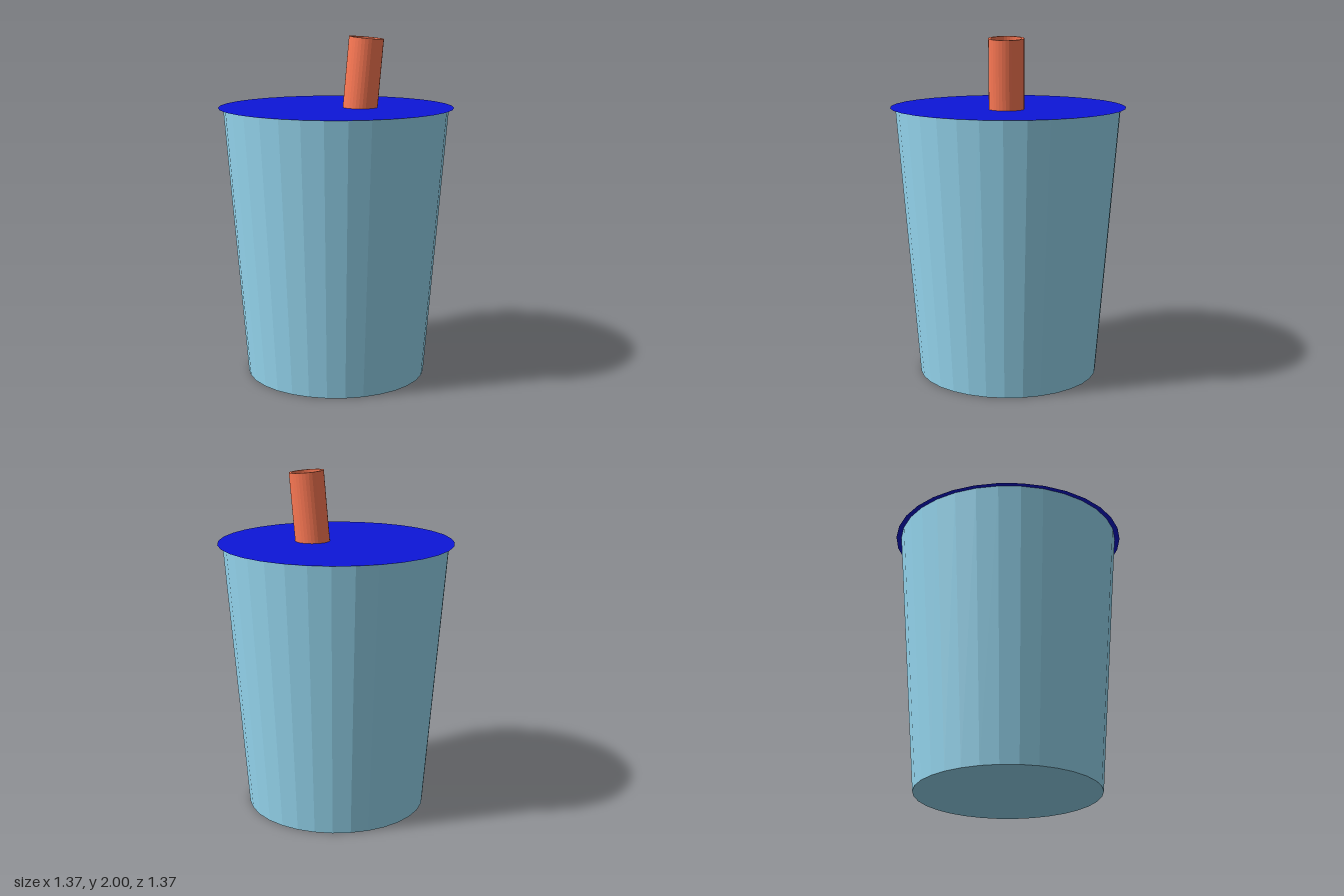
import * as THREE from 'three';

const SIDES = 32;
const LID_Y = 1.59;

function addPart(group, name, geometry, color) {
  const material = new THREE.MeshStandardMaterial({ color, flatShading: true, side: THREE.DoubleSide });
  const mesh = new THREE.Mesh(geometry, material);
  mesh.name = name;
  group.add(mesh);
  return mesh;
}

export function createModel() {
  const group = new THREE.Group();
  group.name = 'cupWithStraw';

  // Tapered cup wall, open under the lid
  const wall = addPart(group, 'cupWall', new THREE.CylinderGeometry(0.655, 0.53, LID_Y, SIDES, 1, true), 0x97d9f2);
  wall.position.y = LID_Y / 2;

  // Cup base, facing down
  const base = addPart(group, 'cupBase', new THREE.CircleGeometry(0.53, SIDES), 0x97d9f2);
  base.rotation.x = Math.PI / 2;

  // Thin flat lid overhanging the rim
  const lid = addPart(group, 'lid', new THREE.CircleGeometry(0.685, SIDES), 0x0d16d8);
  lid.rotation.x = -Math.PI / 2;
  lid.position.y = LID_Y;

  // Hollow leaning straw, running through the lid down into the cup
  const bottom = new THREE.Vector3(0.007, 0.05, -0.005);
  const top = new THREE.Vector3(0.127, 1.991, -0.122);
  const axis = top.clone().sub(bottom);
  const length = axis.length();
  const outer = 0.101, inner = 0.086;
  const profile = [[inner, 0], [outer, 0], [outer, length], [inner, length], [inner, 0]]
    .map(([r, y]) => new THREE.Vector2(r, y));
  const straw = addPart(group, 'straw', new THREE.LatheGeometry(profile, SIDES), 0xff7a55);
  straw.position.copy(bottom);
  straw.quaternion.setFromUnitVectors(new THREE.Vector3(0, 1, 0), axis.normalize());

  return group;
}
